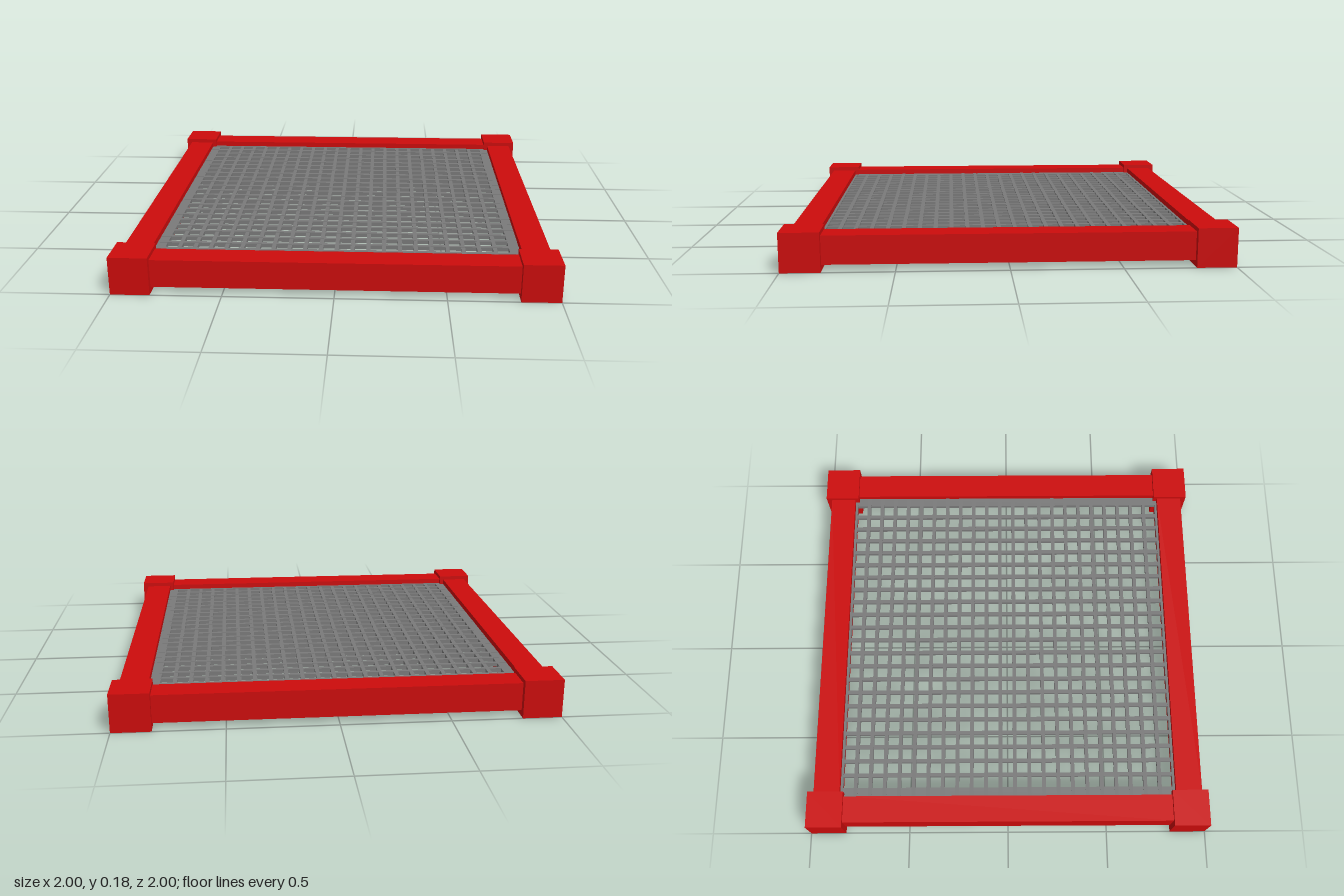
import * as THREE from 'three';

export function createModel() {
  const model = new THREE.Group();
  model.name = 'meshPanel';

  const red = new THREE.MeshStandardMaterial({ color: 0xcc0c0c });
  red.name = 'frameRed';
  const grey = new THREE.MeshStandardMaterial({ color: 0x7a7a7a });
  grey.name = 'meshGrey';

  function box(parent, name, material, size, position) {
    const mesh = new THREE.Mesh(new THREE.BoxGeometry(...size), material);
    mesh.name = name;
    mesh.position.set(...position);
    parent.add(mesh);
  }

  // Red frame: four corner blocks joined by slimmer rails
  const frame = new THREE.Group();
  frame.name = 'frame';
  model.add(frame);
  const block = 0.178;
  const blockAt = 1 - block / 2;
  const railLength = 2 - 2 * block;
  const railY = 0.093;
  for (const s of [-1, 1]) {
    for (const t of [-1, 1]) {
      box(frame, 'cornerBlock', red, [block, block, block], [s * blockAt, block / 2, t * blockAt]);
    }
    box(frame, 'sideRail', red, [0.13, 0.13, railLength], [s * 0.907, railY, 0]);
    box(frame, 'endRail', red, [railLength, 0.13, 0.13], [0, railY, s * 0.907]);
  }

  // Grey mesh: crossing bars inside a narrow border
  const grid = new THREE.Group();
  grid.name = 'grid';
  model.add(grid);
  const pitch = 0.073;
  const bar = 0.019;
  const gridY = 0.121;
  const span = 1.69;
  for (let i = 0; i < 21; i++) {
    box(grid, 'lengthwiseBar', grey, [bar, bar, span], [(i - 10) * pitch, gridY, 0]);
  }
  for (let i = 0; i < 22; i++) {
    box(grid, 'crosswiseBar', grey, [span, bar, bar], [0, gridY + 0.001, (i - 10.5) * pitch]);
  }
  for (const s of [-1, 1]) {
    box(grid, 'sideBorder', grey, [0.05, bar, span], [s * 0.82, gridY, 0]);
    box(grid, 'endBorder', grey, [span, bar, 0.016], [0, gridY + 0.001, s * 0.838]);
  }

  return model;
}
